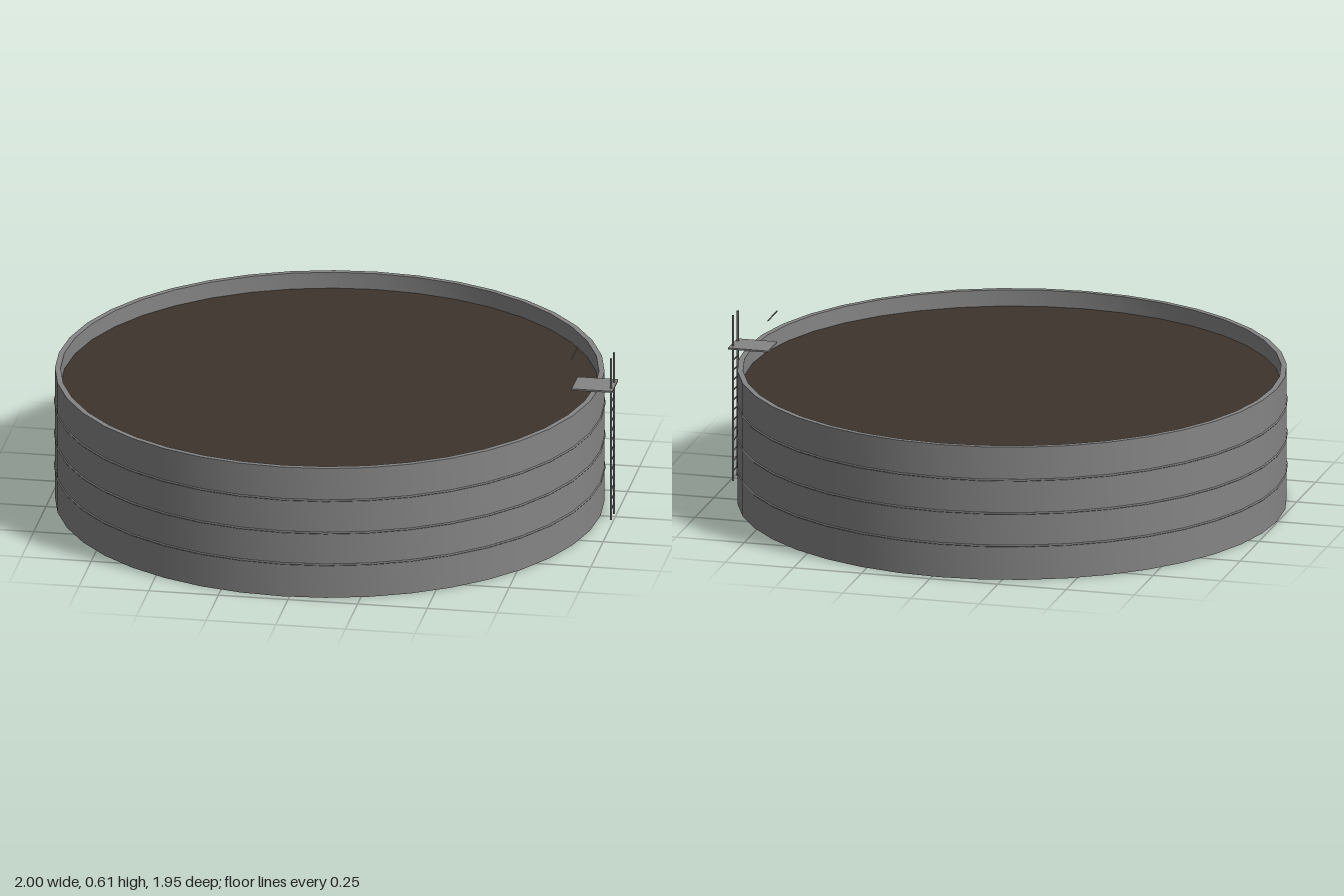
import * as THREE from 'three';
import { toCreasedNormals } from 'three/addons/utils/BufferGeometryUtils.js';

const SIDES = 40, RADIUS = 0.972, INNER = 0.952, HEIGHT = 0.49, LEVEL = 0.43;
const CENTRE_X = -0.025;

export function createModel() {
  const model = new THREE.Group();
  model.name = 'storageTank';

  const steel = new THREE.MeshStandardMaterial({ color: 0x858585 });
  steel.name = 'tank steel';
  const ladderSteel = new THREE.MeshStandardMaterial({ color: 0x6c6c6c });
  ladderSteel.name = 'ladder steel';
  const sludge = new THREE.MeshStandardMaterial({ color: 0x3e352c });
  sludge.name = 'brown liquid';

  const add = (parent, name, geometry, material, x = 0, y = 0, z = 0) => {
    const mesh = new THREE.Mesh(geometry, material);
    mesh.name = name;
    mesh.position.set(x, y, z);
    parent.add(mesh);
    return mesh;
  };

  // Tank: floor, outer wall, rim and inner wall in one turned profile
  const tank = new THREE.Group();
  tank.name = 'tank';
  tank.position.x = CENTRE_X;
  model.add(tank);
  const profile = [[0, 0], [RADIUS, 0], [RADIUS, HEIGHT], [INNER, HEIGHT], [INNER, LEVEL - 0.01]]
    .map(([r, y]) => new THREE.Vector2(r, y));
  add(tank, 'shell', toCreasedNormals(new THREE.LatheGeometry(profile, SIDES), 0.6), steel);

  // Liquid surface below the rim
  const surface = new THREE.CircleGeometry(INNER, SIDES).rotateX(-Math.PI / 2);
  add(tank, 'liquidSurface', surface, sludge, 0, LEVEL, 0);

  // Thin hoops around the wall
  for (const y of [0.125, 0.245, 0.368]) {
    const hoop = new THREE.TorusGeometry(RADIUS, 0.004, 6, SIDES).rotateX(Math.PI / 2);
    add(tank, 'hoop', hoop, steel, 0, y, 0);
  }

  // Ladder on the left side: two rails and evenly spaced rungs
  const ladder = new THREE.Group();
  ladder.name = 'ladder';
  ladder.position.x = 0.99;
  model.add(ladder);
  for (const z of [-0.03, 0.03]) {
    add(ladder, 'rail', new THREE.CylinderGeometry(0.004, 0.004, 0.61, 8), ladderSteel, 0, 0.305, z);
  }
  for (let i = 0; i < 13; i++) {
    const rung = new THREE.CylinderGeometry(0.0025, 0.0025, 0.06, 6).rotateX(Math.PI / 2);
    add(ladder, 'rung', rung, ladderSteel, 0, 0.037 * (i + 1), 0);
  }

  // Platform over the rim, with a handrail bar above its inner edge
  add(model, 'platform', new THREE.BoxGeometry(0.146, 0.006, 0.12), steel, 0.927, 0.495, 0);
  const bar = new THREE.CylinderGeometry(0.0025, 0.0025, 0.12, 6).rotateX(Math.PI / 2);
  add(model, 'handrail', bar, ladderSteel, 0.854, 0.61, 0);

  return model;
}
